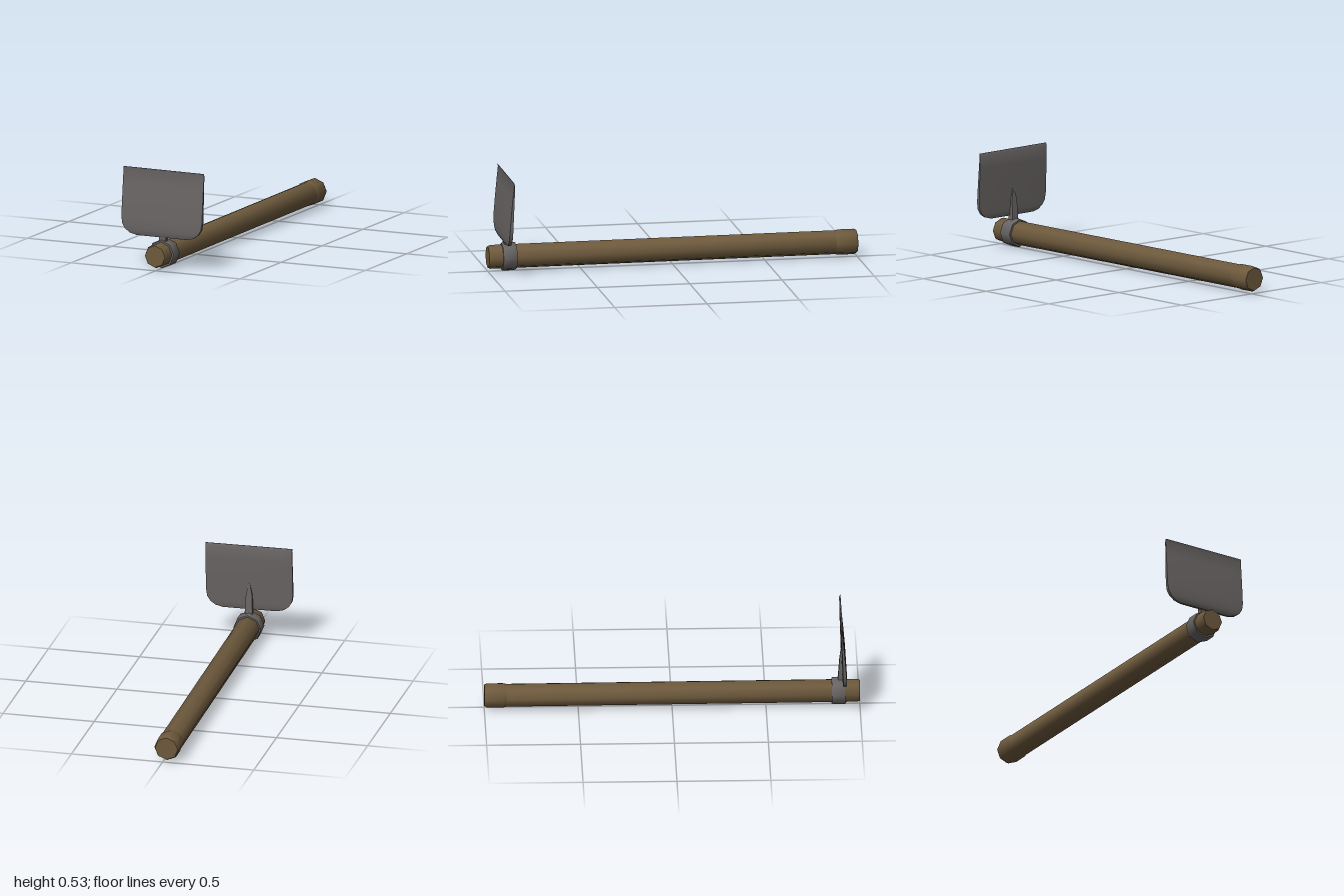
import * as THREE from 'three';
import { toCreasedNormals } from 'three/addons/utils/BufferGeometryUtils.js';

const wood = new THREE.MeshStandardMaterial({ name: 'wood', color: 0x6e5a3d });
const metal = new THREE.MeshStandardMaterial({ name: 'metal', color: 0x686463 });

// Eight-sided turned solid along z; profile is [radius, z] pairs, back to front
function turned(name, material, profile) {
  const geo = new THREE.LatheGeometry(profile.map(([r, z]) => new THREE.Vector2(r, z)), 8);
  geo.rotateX(Math.PI / 2);
  const mesh = new THREE.Mesh(toCreasedNormals(geo, 0.88), material);
  mesh.name = name;
  return mesh;
}

// Closed solid through rings of points, each ring running counterclockwise from above
function loft(name, material, rings, crease) {
  const n = rings[0].length, last = (rings.length - 1) * n, index = [];
  for (let i = 0; i < rings.length - 1; i++) {
    for (let j = 0; j < n; j++) {
      const a = i * n + j, b = i * n + (j + 1) % n;
      index.push(a, b, b + n, a, b + n, a + n);
    }
  }
  for (let j = 1; j < n - 1; j++) {
    index.push(0, j + 1, j, last, last + j, last + j + 1);
  }
  const geo = new THREE.BufferGeometry();
  geo.setAttribute('position', new THREE.Float32BufferAttribute(rings.flat(2), 3));
  geo.setIndex(index);
  const mesh = new THREE.Mesh(toCreasedNormals(geo, crease), material);
  mesh.name = name;
  return mesh;
}

export function createModel() {
  const model = new THREE.Group();
  model.name = 'hoe';

  // Handle and thicker grip, turned very slightly off the z axis
  const shaft = new THREE.Group();
  shaft.name = 'shaft';
  shaft.add(
    turned('handle', wood, [[0, -0.95], [0.065, -0.95], [0.065, 0.985], [0.059, 1], [0, 1]]),
    turned('grip', wood, [[0, -1], [0.062, -1], [0.069, -0.985], [0.069, -0.9], [0.064, -0.88], [0, -0.88]]),
  );
  shaft.position.set(-0.012, 0.08, 0);
  shaft.rotation.y = 0.0085;
  model.add(shaft);

  // Metal collar around the handle
  const collar = turned('collar', metal,
    [[0.06, 0.85], [0.074, 0.85], [0.077, 0.856], [0.077, 0.919], [0.074, 0.925], [0.06, 0.925]]);
  collar.position.set(-0.003, 0.08, 0);
  model.add(collar);

  // Tapered tang joining collar and blade: [y, half width, front z, back z]
  const tang = [[0.14, 0.02, 0.915, 0.882], [0.17, 0.02, 0.915, 0.885], [0.255, 0.017, 0.912, 0.891], [0.32, 0.003, 0.906, 0.898]];
  const tangMesh = loft('tang', metal, tang.map(([y, w, f, b]) =>
    [[-w, y, f], [w, y, f], [w, y, b], [-w, y, b]]), 0.5);
  tangMesh.position.x = -0.002;
  model.add(tangMesh);

  // Blade rows, same layout, ending in a thin lip
  const blade = [
    [0.17, 0.15, 0.922, 0.909], [0.18, 0.187, 0.926, 0.906], [0.2, 0.215, 0.928, 0.905],
    [0.227, 0.232, 0.928, 0.904], [0.265, 0.238, 0.926, 0.903], [0.35, 0.238, 0.919, 0.9],
    [0.45, 0.238, 0.909, 0.897], [0.519, 0.238, 0.901, 0.896], [0.533, 0.238, 0.904, 0.902],
  ];
  const bladeMesh = loft('blade', metal, blade.map(([y, w, f, b]) => {
    const k = 0.75 * w, e = (f - b) * 0.12;
    return [[-w, y, f - e], [-k, y, f], [k, y, f], [w, y, f - e],
      [w, y, b + e], [k, y, b], [-k, y, b], [-w, y, b + e]];
  }), 0.75);
  bladeMesh.rotation.z = -0.007;
  bladeMesh.position.x = -0.003;
  model.add(bladeMesh);

  return model;
}
